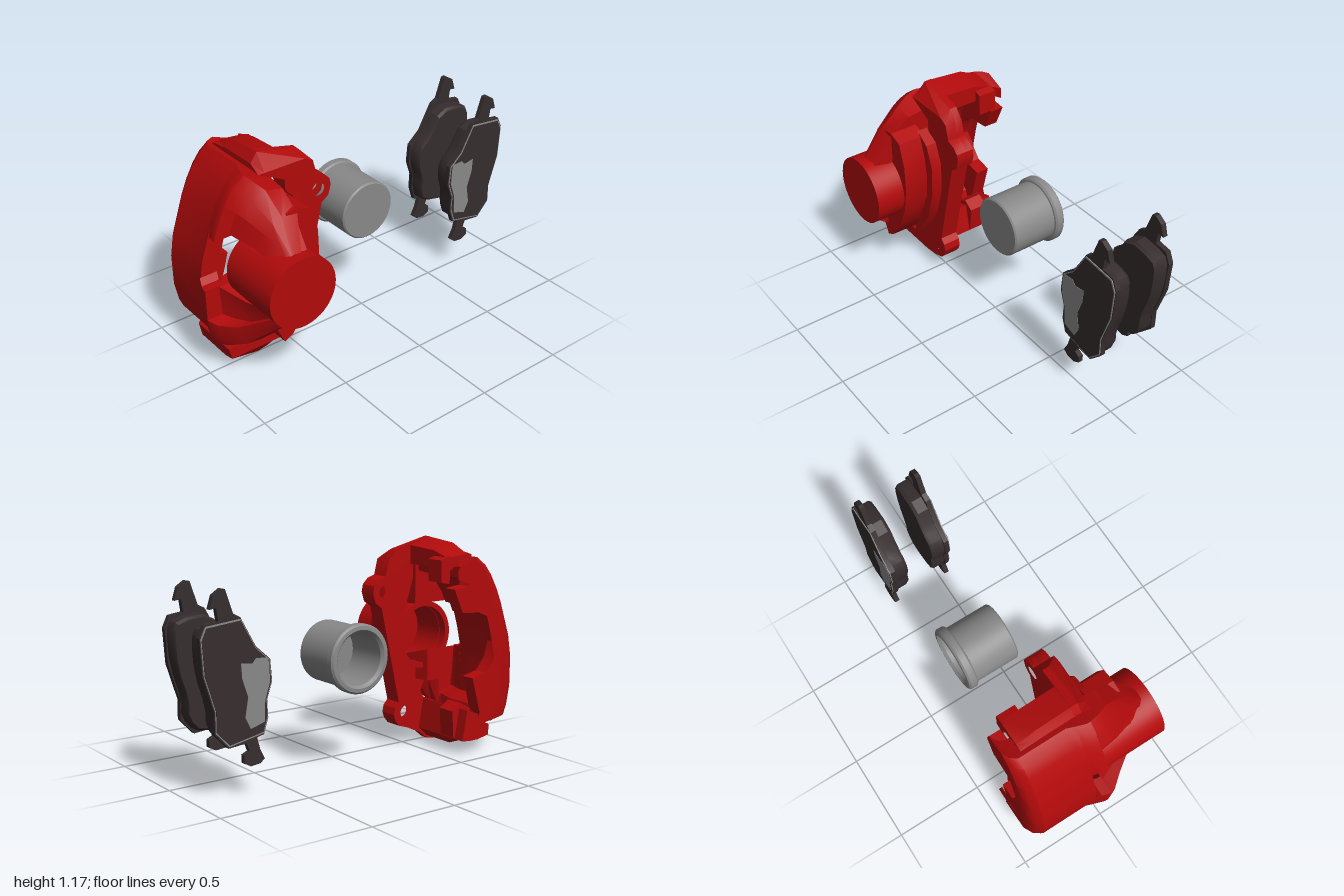
import * as THREE from 'three';
import { toCreasedNormals } from 'three/addons/utils/BufferGeometryUtils.js';

const mat = (name, color) => {
  const m = new THREE.MeshStandardMaterial({ color });
  m.name = name;
  return m;
};

// Solid through cross-sections [x, [[z, y], ...]] strung along the x axis
function loft(sections) {
  const secs = [...sections].sort((a, b) => a[0] - b[0]);
  const flat = secs.map(([, pts]) => pts.map(([z, y]) => new THREE.Vector2(-z, y)));
  if (THREE.ShapeUtils.isClockWise(flat[0])) flat.forEach(f => f.reverse());
  const pos = [];
  const put = (s, i) => pos.push(secs[s][0], flat[s][i].y, -flat[s][i].x);
  const n = flat[0].length, last = secs.length - 1;
  for (let s = 0; s < last; s++) {
    for (let i = 0; i < n; i++) {
      const j = (i + 1) % n;
      put(s, i); put(s, j); put(s + 1, j);
      put(s, i); put(s + 1, j); put(s + 1, i);
    }
  }
  for (const [a, b, c] of THREE.ShapeUtils.triangulateShape(flat[0], [])) {
    put(0, c); put(0, b); put(0, a);
  }
  for (const [a, b, c] of THREE.ShapeUtils.triangulateShape(flat[last], [])) {
    put(last, a); put(last, b); put(last, c);
  }
  const g = new THREE.BufferGeometry();
  g.setAttribute('position', new THREE.Float32BufferAttribute(pos, 3));
  return toCreasedNormals(g, 0.5);
}
const slab = (x0, x1, pts) => loft([[x0, pts], [x1, pts]]);

// Flat plate in the z-y plane with round holes [z, y, radius]; the far face is clamped to yMin..yMax
function plate(x0, x1, pts, holes, yMin = -9, yMax = 9) {
  const shape = new THREE.Shape(pts.map(([z, y]) => new THREE.Vector2(-z, y)));
  for (const [z, y, r] of holes) shape.holes.push(new THREE.Path().absarc(-z, y, r, 0, Math.PI * 2, true));
  const g = new THREE.ExtrudeGeometry(shape, { depth: x1 - x0, bevelEnabled: false, curveSegments: 20 });
  g.rotateY(Math.PI / 2).translate(x0, 0, 0);
  const p = g.attributes.position;
  for (let i = 0; i < p.count; i++) {
    if (p.getX(i) > x1 - .001) p.setY(i, THREE.MathUtils.clamp(p.getY(i), yMin, yMax));
  }
  return toCreasedNormals(g, 0.5);
}

// Turned part around an x-parallel axis; profile is [radius, x]
function turned(profile, y, z) {
  const g = new THREE.LatheGeometry(profile.map(([r, x]) => new THREE.Vector2(r, x)), 48);
  return toCreasedNormals(g.rotateZ(-Math.PI / 2).translate(0, y, z), 0.5);
}

const shift = (pts, dz) => pts.map(([z, y]) => [z + dz, y]);
const scaled = (pts, k) => pts.map(([z, y]) => [-0.8 + (z + 0.8) * k, 0.59 + (y - 0.59) * k]);
// Rounds an outline by cutting each corner
const rounded = pts => pts.flatMap(([z, y], i) => {
  const [z2, y2] = pts[(i + 1) % pts.length];
  return [.25, .75].map(t => [z + (z2 - z) * t, y + (y2 - y) * t]);
});

export function createModel() {
  const red = mat('caliper red', 0xb20a0b);
  const steel = mat('steel grey', 0x898989);
  const dark = mat('pad dark', 0x362d2e);
  const root = new THREE.Group();
  root.name = 'discBrake';
  const group = name => {
    const g = new THREE.Group();
    g.name = name;
    root.add(g);
    return g;
  };
  const add = (parent, name, geo, m) => {
    const mesh = new THREE.Mesh(geo, m);
    mesh.name = name;
    parent.add(mesh);
  };

  // Caliper: curved bridge, split above and below the inspection window
  const caliper = group('caliper');
  const upperOuter = [[.62, 1.04], [.738, 1.085], [.79, 1.045], [.834, .99], [.879, .91], [.914, .83], [.931, .78]];
  const upperInner = [[.83, .78], [.8, .84], [.72, .95], [.62, .98]];
  const lowerOuter = [[1, .52], [1, .35], [.979, .24], [.957, .187], [.78, .16]];
  const lowerInner = [[.8, .24], [.88, .28], [.89, .38], [.9, .52]];
  const upper = [...upperOuter, ...upperInner];
  const lower = [...lowerOuter, ...lowerInner];
  const whole = [...upperOuter, [.979, .64], ...lower, [.87, .65], ...upperInner];
  // Moves the window edge of a bridge half by dy
  const edge = (pts, from, dy) => pts.map(([z, y]) => [z, y === from ? y + dy : y]);
  const bend = (pts, stops) => loft(stops.map(([x, dz]) => [x, shift(pts, dz)]));
  add(caliper, 'bridge', bend(whole, [[-.425, -.1], [-.405, -.06], [-.37, -.035], [-.1, -.035], [-.06, -.02]]), red);
  for (const [name, half, y, dy] of [['bridgeTop', upper, .78, -.025], ['bridgeBottom', lower, .52, .03]]) {
    add(caliper, name, loft([[-.06, shift(edge(half, y, dy), -.02)], [-.03, shift(half, -.01)], [0, half], [.02, half]]), red);
  }

  // Outer fingers with a round cut-out open to the back
  add(caliper, 'fingers', slab(-.42, -.34, [[.64, 1.03], [.7, .99], [.76, .9], [.83, .75], [.87, .6], [.88, .4],
    [.86, .2], [.79, .17], [.7, .24], [.645, .43], [.74, .45], [.8, .52], [.825, .61], [.8, .7],
    [.75, .76], [.68, .79], [.56, .8], [.5, .93], [.6, .94]]), red);

  // Tapering arms from the bridge to the cylinder: raised rims and sunken webs
  add(caliper, 'upperArmRim', loft([
    [.02, [[.6, 1.04], [.738, 1.085], [.81, 1.03], [.86, .955], [.6, .955]]],
    [.08, [[.6, 1.03], [.725, 1.07], [.795, 1.02], [.845, .95], [.6, .95]]],
    [.145, [[.6, 1.02], [.7, 1.045], [.77, 1], [.82, .925], [.6, .925]]],
    [.26, [[.6, .935], [.69, .945], [.74, .92], [.77, .86], [.6, .84]]],
    [.37, [[.66, .79], [.7, .795], [.72, .79], [.74, .76], [.66, .72]]]]), red);
  add(caliper, 'upperArmWeb', loft([
    [.02, [[.6, .96], [.77, .96], [.84, .79], [.6, .79]]],
    [.15, [[.6, .935], [.755, .935], [.82, .785], [.6, .785]]],
    [.26, [[.6, .88], [.74, .88], [.79, .78], [.6, .78]]],
    [.36, [[.62, .785], [.71, .785], [.75, .74], [.62, .74]]]]), red);
  add(caliper, 'lowerArmRim', loft([
    [.02, [[.79, .16], [.957, .187], [.985, .25], [1, .345], [.79, .345]]],
    [.08, [[.79, .175], [.935, .195], [.962, .255], [.975, .335], [.75, .335]]],
    [.16, [[.78, .21], [.87, .22], [.9, .28], [.91, .34], [.7, .34]]],
    [.3, [[.66, .34], [.76, .35], [.79, .38], [.81, .42], [.66, .42]]],
    [.37, [[.66, .4], [.69, .4], [.72, .41], [.74, .44], [.66, .46]]]]), red);
  add(caliper, 'lowerArmWeb', loft([
    [.02, [[.7, .33], [.91, .33], [.92, .515], [.7, .515]]],
    [.16, [[.66, .33], [.83, .33], [.86, .475], [.66, .475]]],
    [.32, [[.66, .4], [.75, .4], [.78, .45], [.66, .45]]]]), red);

  // Inner flange and the hollow cylinder housing
  add(caliper, 'cylinderFlange', plate(.1, .26, [[.6, .96], [.52, .93], [.48, .8], [.475, .65], [.5, .5],
    [.55, .38], [.65, .24], [.7, .215], [.74, .3], [.79, .44], [.868, .53], [.868, .67], [.79, .77], [.72, .86],
    [.66, .95]], [[.695, .6, .16]]), red);
  add(caliper, 'cylinder', turned([[0, .3], [.165, .3], [.165, .05], [.195, .05], [.195, .425], [0, .425]], .598, .693), red);

  // Mounting bracket: open plate with two bolt lugs, sloped at its top and bottom
  const bracket = group('bracket');
  const bracketOutline = [[.684, 1.123], [.647, 1.175], [.406, 1.118], [.358, 1.06], [.337, .973],
    [.289, .957], [.258, .925], [.25, .885], [.267, .83], [.31, .8], [.439, .25], [.412, .22], [.404, .18],
    [.417, .144], [.444, .112], [.513, .09], [.594, .053], [.647, .01], [.7, 0], [.898, .064], [.914, .144],
    [.888, .155], [.834, .134], [.717, .15], [.706, .225], [.62, .257], [.54, .41], [.476, .56], [.465, .695],
    [.492, .83], [.53, .947], [.53, 1.027], [.588, 1.043], [.604, 1.07], [.684, 1.09]];
  const lugHoles = [[.33, .885, .037], [.49, .187, .037]];
  add(bracket, 'bracketPlate', plate(-.04, 0, bracketOutline, lugHoles), red);
  add(bracket, 'bracketSlope', plate(0, .063, bracketOutline, lugHoles, .08, 1.085), red);
  add(bracket, 'bracketRib', slab(.06, .125, [[.55, .95], [.46, .9], [.415, .78], [.42, .6], [.47, .42], [.58, .25],
    [.62, .257], [.54, .41], [.476, .56], [.465, .695], [.492, .83], [.53, .947]]), red);

  // Arms reaching over the disc, with pad rests at their ends
  const topArm = h => [[.684, 1.09], [.684, 1.1 + .023 * h], [.647, 1.105 + .07 * h], [.51, 1.09 + .045 * h],
    [.51, 1.03], [.588, 1.043], [.604, 1.07]];
  add(bracket, 'topArm', loft([[-.345, topArm(0)], [-.235, topArm(.72)], [-.02, topArm(1)]]), red);
  add(bracket, 'topPadRest', slab(-.345, -.24, [[.47, .96], [.47, 1.08], [.53, 1.1], [.55, 1.03], [.53, 1.02], [.53, .95]]), red);
  // The lower arm gets shallower towards its free end: d lifts the underside, k draws in the front
  const bottomArm = (d, k) => [[.898, .064 + d * .5], [.914, .144], [.888, .155], [.834, .134], [.717, .15], [.706, .22],
    [.62, .25], [.59, .08], [.65, .025 + d], [.7, .025 + d]].map(([z, y]) => [z > .7 ? .7 + (z - .7) * k : z, y]);
  add(bracket, 'bottomArm', loft([[-.41, bottomArm(.05, .4)], [-.345, bottomArm(.05, .45)],
    [-.235, bottomArm(0, 1)], [-.02, bottomArm(0, 1)]]), red);
  add(bracket, 'bottomPadRest', slab(-.345, -.24, [[.58, .09], [.57, .24], [.63, .28], [.7, .24], [.66, .08]]), red);

  // Piston: cup open towards the pads with a rolled lip
  const piston = group('piston');
  add(piston, 'pistonCup', turned([[0, -.05], [.14, -.05], [.14, -.29], [.155, -.307], [.175, -.305], [.185, -.295],
    [.185, -.26], [.176, -.25], [.166, -.248], [.166, .004], [.158, .012], [0, .012]], .6, -.035), steel);

  // Brake pads: backing plate with ears, lining, shim and worn patch
  const bodyFront = [[-.65, .31], [-.625, .39], [-.63, .48], [-.6, .57], [-.61, .68], [-.69, .75], [-.775, .9]];
  const bodyBack = [[-.97, .88], [-.998, .82], [-.985, .64], [-.925, .455], [-.925, .35], [-.85, .27]];
  const body = [...bodyFront, ...bodyBack];
  const topEar = [[-.813, .92], [-.855, 1.04], [-.877, 1.043], [-.92, 1.015], [-.94, .95], [-.905, .955], [-.895, .89]];
  const bottomEar = [[-.75, .28], [-.733, .235], [-.765, .22], [-.765, .18], [-.727, .16], [-.674, .166],
    [-.647, .187], [-.674, .24], [-.69, .3]];
  const patch = [[-.63, .69], [-.695, .695], [-.717, .67], [-.78, .68], [-.775, .605], [-.743, .51], [-.76, .41],
    [-.73, .35], [-.65, .375], [-.647, .48], [-.618, .57], [-.622, .66]];
  const liningEdge = rounded(body);
  for (const [name, x, s] of [['innerPad', .002, 1], ['outerPad', -.307, -1]]) {
    const pad = group(name);
    const at = d => x + s * d;
    add(pad, 'backingPlate', slab(at(0), at(.028), [...bodyFront, ...topEar, ...bodyBack, ...bottomEar]), dark);
    add(pad, 'lining', loft([[at(0), scaled(liningEdge, .96)], [at(-.06), scaled(liningEdge, .96)],
      [at(-.077), scaled(liningEdge, .92)]]), dark);
    add(pad, 'shim', slab(at(.028), at(.033), scaled(body, .975)), steel);
    add(pad, 'shimCover', slab(at(.033), at(.035), scaled(body, .95)), dark);
    add(pad, 'shimPatch', slab(at(.035), at(.037), patch), steel);
  }
  return root;
}
